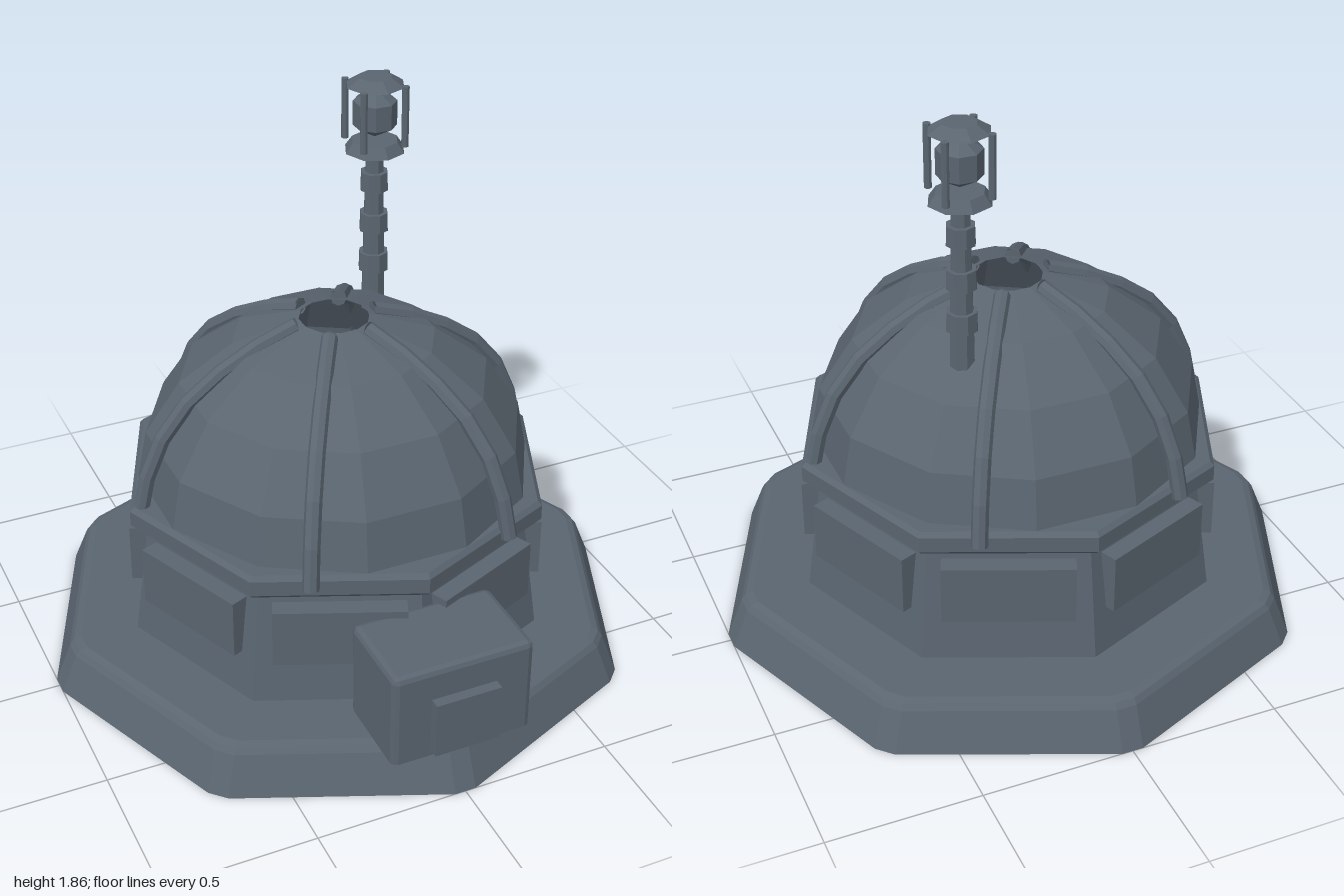
import * as THREE from 'three';
import { RoundedBoxGeometry } from 'three/addons/geometries/RoundedBoxGeometry.js';

const slate = new THREE.MeshStandardMaterial({ color: 0x5a6570, flatShading: true, side: THREE.DoubleSide });
slate.name = 'slate metal';

function add(parent, name, geometry, x = 0, y = 0, z = 0) {
  const mesh = new THREE.Mesh(geometry, slate);
  mesh.name = name;
  mesh.position.set(x, y, z);
  parent.add(mesh);
  return mesh;
}

const lathe = (profile, sides, start = 0) =>
  new THREE.LatheGeometry(profile.map(([r, y]) => new THREE.Vector2(r, y)), sides, start);

// Octagonal lathe whose eight corners are trimmed into narrow facets
function trimmedOctagon(profile, trim) {
  const geometry = lathe(profile, 16);
  const pos = geometry.attributes.position;
  const n = profile.length;
  const scale = Math.cos(Math.PI / 8) / Math.cos(Math.PI / 8 - trim);
  for (let i = 0; i < pos.count; i++) {
    const step = Math.floor(i / n);
    const a = Math.floor(step / 2) * Math.PI / 4 + (step % 2 ? trim : -trim);
    const [r, y] = profile[i % n];
    pos.setXYZ(i, Math.sin(a) * r * scale, y, Math.cos(a) * r * scale);
  }
  return geometry;
}

export function createModel() {
  const model = new THREE.Group();
  model.name = 'domedOutpost';

  // Hollow foundation, open underneath, with a floor inside the walls
  add(model, 'foundation', trimmedOctagon([
    [1.015, 0], [0.96, 0.13], [0.945, 0.148], [0.92, 0.157], [0.7, 0.157],
  ], 0.035));
  add(model, 'floor', lathe([[0.74, 0.145], [0.74, 0.156], [0, 0.156]], 8));

  // Sloping walls and the bevelled ring above them
  add(model, 'walls', lathe([[0.72, 0.155], [0.66, 0.57]], 8));
  add(model, 'ring', lathe([
    [0.62, 0.555], [0.705, 0.555], [0.72, 0.57], [0.72, 0.622], [0.705, 0.637], [0.62, 0.637], [0.62, 0.555],
  ], 8));

  // One upright window panel per wall
  const panelShape = new THREE.BoxGeometry(0.42, 0.2, 0.1);
  for (let i = 0; i < 8; i++) {
    const a = (i + 0.5) * Math.PI / 4;
    const panel = add(model, 'windowPanel', panelShape, Math.sin(a) * 0.628, 0.41, Math.cos(a) * 0.628);
    panel.rotation.y = a;
  }

  // Twelve-sided dome, open at the crown
  const domeProfile = [0, 20, 40, 60, 80].map((deg) => {
    const t = THREE.MathUtils.degToRad(deg);
    return [0.662 * Math.cos(t), 0.6 + 0.588 * Math.sin(t)];
  });
  add(model, 'dome', lathe(domeProfile, 12, Math.PI / 12));

  // Six curved ribs with closed upper ends
  const ribPath = new THREE.CatmullRomCurve3([
    [0.685, 0.6], [0.642, 0.775], [0.555, 0.93], [0.43, 1.038], [0.28, 1.122], [0.135, 1.174],
  ].map(([x, y]) => new THREE.Vector3(x, y, 0)));
  const ribShape = new THREE.TubeGeometry(ribPath, 6, 0.027, 8);
  const tipShape = new THREE.CircleGeometry(0.027, 8);
  for (let i = 0; i < 6; i++) {
    const rib = new THREE.Group();
    rib.name = 'rib';
    add(rib, 'ribTube', ribShape);
    add(rib, 'ribTip', tipShape, 0.135, 1.174, 0).rotation.y = -Math.PI / 2;
    rib.rotation.y = i * Math.PI / 3;
    model.add(rib);
  }

  // Entrance block: chamfered sides and top, flat sharp-edged bottom
  const entranceShape = new RoundedBoxGeometry(0.475, 0.385, 0.305, 1, 0.02).translate(0, 0.2925, 0.813);
  const corners = entranceShape.attributes.position;
  for (let i = 0; i < corners.count; i++) corners.setY(i, Math.max(corners.getY(i), 0.158));
  add(model, 'entrance', entranceShape);
  add(model, 'door', new THREE.BoxGeometry(0.22, 0.195, 0.06), 0, 0.278, 0.97);

  // Mast with collars
  const mast = new THREE.Group();
  mast.name = 'mast';
  mast.position.set(0.262, 0, -0.265);
  model.add(mast);
  add(mast, 'pole', new THREE.CylinderGeometry(0.03, 0.042, 0.58, 8), 0, 1.32, 0);
  [1.208, 1.352, 1.498].forEach((y, i) =>
    add(mast, 'collar', new THREE.CylinderGeometry(0.05 - i * 0.002, 0.052 - i * 0.002, 0.064, 8), 0, y, 0));

  // Lantern: flared base, faceted lamp, four posts and a cap
  add(mast, 'lanternBase', new THREE.CylinderGeometry(0.078, 0.102, 0.035, 8), 0, 1.623, 0);
  add(mast, 'lamp', new THREE.SphereGeometry(0.083, 8, 3), 0, 1.733, 0).rotation.y = Math.PI / 8;
  add(mast, 'lanternCap', new THREE.CylinderGeometry(0.055, 0.098, 0.028, 8), 0, 1.843, 0);
  const postShape = new THREE.CylinderGeometry(0.0125, 0.0125, 0.205, 8);
  for (const x of [-0.073, 0.073]) {
    for (const z of [-0.073, 0.073]) add(mast, 'lanternPost', postShape, x, 1.734, z);
  }

  return model;
}
